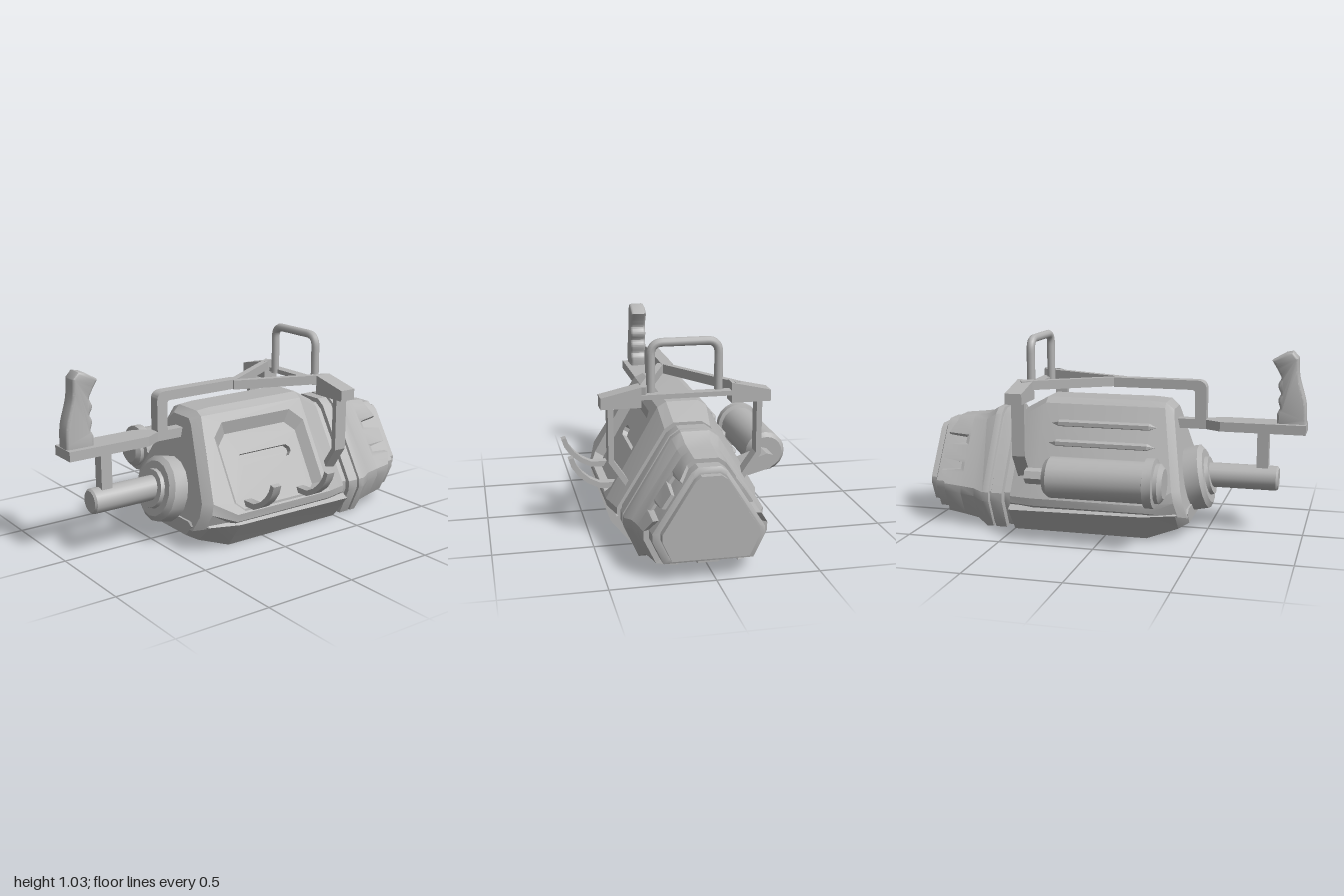
import * as THREE from 'three';
import { toCreasedNormals } from 'three/addons/utils/BufferGeometryUtils.js';

const steel = new THREE.MeshStandardMaterial({ color: 0xb4b4b4, side: THREE.DoubleSide });
steel.name = 'grey steel';

function add(parent, name, geo, crease = 0.5) {
  const g = crease ? toCreasedNormals(geo.index ? geo.toNonIndexed() : geo, crease) : geo;
  const m = new THREE.Mesh(g, steel);
  m.name = name;
  parent.add(m);
  return m;
}

// Half section [z, y] from top to bottom -> closed ring of [z, y]
const mirror = (half) => [...half, ...half.slice().reverse().map(([z, y]) => [-z, y])];

// Ring of 3D points; x is a number or a rule of (y, index)
const ring = (x, pts) => pts.map(([z, y], i) => new THREE.Vector3(typeof x === 'function' ? x(y, i) : x, y, z));

// Skin between rings; skip(i, j) leaves a face open
function loft(rings, { caps = true, skip = () => false } = {}) {
  const pos = [];
  const tri = (...v) => v.forEach((p) => pos.push(p.x, p.y, p.z));
  const n = rings[0].length;
  for (let i = 0; i < rings.length - 1; i++) {
    for (let j = 0; j < n; j++) {
      if (skip(i, j)) continue;
      const k = (j + 1) % n;
      const a = rings[i][j], b = rings[i][k], c = rings[i + 1][k], d = rings[i + 1][j];
      tri(a, b, c);
      tri(a, c, d);
    }
  }
  if (caps) {
    const s = rings[0], e = rings[rings.length - 1];
    for (let j = 1; j < n - 1; j++) {
      tri(s[0], s[j + 1], s[j]);
      tri(e[0], e[j], e[j + 1]);
    }
  }
  const g = new THREE.BufferGeometry();
  g.setAttribute('position', new THREE.Float32BufferAttribute(pos, 3));
  return g;
}

// Rounded triangle section of the muzzle
function tri(top, bot, w) {
  const k = (top - bot) / 0.62;
  return mirror([[0.065 * k + 0.005, top], [0.115 * k, top - 0.032 * k], [w, bot + 0.205 * k],
    [w, bot + 0.155 * k], [w * 0.8, bot]]);
}

const shapeOf = (pts) => new THREE.Shape(pts.map(([x, y]) => new THREE.Vector2(x, y)));

// [z, y] outline extruded from x0 to x1
function prismX(pts, x0, x1) {
  const g = new THREE.ExtrudeGeometry(shapeOf(pts.map(([z, y]) => [-z, y])), { depth: x1 - x0, bevelEnabled: false });
  return g.rotateY(Math.PI / 2).translate(x0, 0, 0);
}

function box(parent, name, x0, x1, y0, y1, z0, z1) {
  const m = add(parent, name, new THREE.BoxGeometry(x1 - x0, y1 - y0, z1 - z0), 0);
  m.position.set((x0 + x1) / 2, (y0 + y1) / 2, (z0 + z1) / 2);
  return m;
}

function beam(parent, name, a, b, w, h) {
  const A = new THREE.Vector3(...a), B = new THREE.Vector3(...b);
  const m = add(parent, name, new THREE.BoxGeometry(w, h, A.distanceTo(B)), 0);
  m.position.copy(A).lerp(B, 0.5);
  m.lookAt(B);
  return m;
}

// Lathe along x from [x, radius] pairs
function turned(parent, name, profile, seg) {
  const g = new THREE.LatheGeometry(profile.map(([x, r]) => new THREE.Vector2(r, x)), seg);
  return add(parent, name, g.rotateZ(-Math.PI / 2));
}

export function createModel() {
  const root = new THREE.Group();
  root.name = 'triangularCannon';
  const g = new THREE.Group();
  g.name = 'assembly';
  g.position.z = 0.027;
  root.add(g);

  // Upper hull, left open on +z for the recessed panel
  const full = [[0.08, 0.692], [0.125, 0.665], [0.39, 0.205], [0.385, 0.165], [0.35, 0.14]];
  const upper = [
    ring((y) => -0.455 + 0.21 * y, mirror([[0.07, 0.65], [0.1, 0.62], [0.3, 0.27], [0.3, 0.2], [0.26, 0.12]])),
    ring((y) => -0.42 + 0.21 * y, mirror([[0.08, 0.685], [0.125, 0.665], [0.35, 0.275], [0.355, 0.22], [0.32, 0.14]])),
    ring((y) => (y > 0.5 ? -0.2 : -0.24), mirror(full)),
    ring(0.37, mirror(full)),
    ring(0.5, mirror([[0.07, 0.62], [0.115, 0.59], [0.355, 0.2], [0.355, 0.165], [0.33, 0.14]])),
  ];
  add(g, 'upperHull', loft(upper, { skip: (i, j) => j === 1 && (i === 1 || i === 2) }), 0.4);

  // Lower hull
  const low = (x, wt, yt, wb, yb) => ring(x, mirror([[wt - 0.03, yt + 0.02], [wt, yt], [wb, yb]]));
  add(g, 'lowerHull', loft([
    low(-0.43, 0.25, 0.14, 0.2, 0.08), low(-0.38, 0.34, 0.15, 0.24, 0.055),
    low(-0.22, 0.387, 0.145, 0.28, 0.003), low(0.5, 0.387, 0.135, 0.28, 0.003),
  ]), 0.4);

  // Left side panel: local x along the body, y up the slope, z outward
  const side = (s) => {
    const p = new THREE.Group();
    const u = new THREE.Vector3(0, 0.46, -0.265 * s).normalize();
    const n = new THREE.Vector3(0, 0.265 * s, 0.46).normalize();
    p.matrix.makeBasis(new THREE.Vector3(1, 0, 0), u, n).setPosition(0, 0.205, 0.39 * s);
    p.matrix.decompose(p.position, p.quaternion, p.scale);
    g.add(p);
    return p;
  };
  const panel = side(1);
  panel.name = 'leftPanel';
  const octagon = (x0, x1, y0, y1, c, d) => [[x0 + d, y0], [x1 - d, y0], [x1, y0 + d], [x1, y1 - c],
    [x1 - c, y1], [x0 + c, y1], [x0, y1 - c], [x0, y0 + d]];
  const rim = octagon(-0.24, 0.345, 0.01, 0.48, 0.07, 0.05);
  const floor = octagon(-0.2, 0.305, 0.025, 0.425, 0.055, 0.04);
  const slot = octagon(-0.11, 0.235, 0.245, 0.305, 0.02, 0.02);
  const plate = (name, pts, hole, z) => {
    const s = shapeOf(pts);
    if (hole) s.holes.push(shapeOf(hole));
    add(panel, name, new THREE.ShapeGeometry(s).translate(0, 0, z), 0);
  };
  const walls = (name, a, za, b, zb) => add(panel, name, loft([
    b.map(([x, y]) => new THREE.Vector3(x, y, zb)), a.map(([x, y]) => new THREE.Vector3(x, y, za)),
  ], { caps: false }), 0.2);
  plate('sideFace', [[-0.362, 0.081], [-0.24, 0], [0.37, 0], [0.37, 0.531], [-0.28, 0.531]], rim, 0);
  walls('recessBevel', rim, 0, floor, -0.045);
  plate('recessFloor', floor, slot, -0.045);
  walls('slotWalls', slot, -0.045, slot, -0.075);
  plate('slotFloor', slot, null, -0.075);

  // Right side ribs with pointed ends
  const ribs = side(-1);
  ribs.name = 'rightRibs';
  for (const y of [0.2, 0.31, 0.42]) {
    const r = [[-0.25, 0], [-0.21, 0.02], [0.28, 0.02], [0.32, 0]];
    const geo = new THREE.LatheGeometry(r.map(([x, q]) => new THREE.Vector2(q, x)), 6).rotateZ(-Math.PI / 2);
    add(ribs, 'rib', geo, 0.3).position.y = y;
  }

  // Collar rings and tapered muzzle shell
  const collar = [[0.49, 0.58, 0.04, 0.31], [0.5, 0.6, 0.02, 0.33], [0.54, 0.6, 0.02, 0.33], [0.545, 0.58, 0.04, 0.31],
    [0.55, 0.62, 0.005, 0.345], [0.61, 0.62, 0.005, 0.345], [0.615, 0.6, 0.02, 0.33], [0.622, 0.6, 0.02, 0.33],
    [0.626, 0.62, 0.005, 0.345], [0.66, 0.62, 0.005, 0.345], [0.72, 0.58, 0.04, 0.318], [0.8, 0.57, 0.052, 0.306]];
  add(g, 'collar', loft(collar.map(([x, ...s]) => ring(x, tri(...s)))));

  // Toothed shell lip: the three long edges get notches
  const ts = [0.2, 0.24, 0.35, 0.4, 0.62, 0.66, 0.77, 0.81];
  const notched = [0, 0, 1, 1, 0, 0, 1, 1].map((v, i) => [0.93, 0.82, 0.82, 0.93][i % 4]);
  const jag = [];
  const split = (pts) => {
    jag.length = 0;
    return pts.flatMap((p, i) => {
      const q = pts[(i + 1) % pts.length];
      jag.push(0.895);
      if (![1, 4, 7].includes(i)) return [p];
      jag.push(...notched);
      return [p, ...ts.map((t) => [p[0] + (q[0] - p[0]) * t, p[1] + (q[1] - p[1]) * t])];
    });
  };
  const jagX = (y, i) => jag[i];
  add(g, 'toothedShell', loft([
    ring(0.8, split(tri(0.57, 0.052, 0.306))),
    ring(jagX, split(tri(0.56, 0.065, 0.295))),
    ring(jagX, split(tri(0.53, 0.095, 0.26))),
  ], { caps: false }), 0.45);
  add(g, 'muzzleCore', loft([[0.79, 0.54, 0.08, 0.278], [0.955, 0.54, 0.085, 0.265], [0.965, 0.52, 0.105, 0.24],
    [0.965, 0.51, 0.112, 0.23], [1, 0.51, 0.112, 0.228]].map(([x, ...s]) => ring(x, tri(...s)))));

  // Tilted rear drum and tail pipe
  const drum = turned(g, 'rearDrum', [[-0.06, 0], [-0.06, 0.1], [-0.04, 0.105], [-0.04, 0.145], [-0.02, 0.172],
    [0.06, 0.172], [0.06, 0]], 16);
  drum.position.set(-0.455, 0.28, 0);
  drum.rotation.z = -0.207;
  turned(g, 'tailPipe', [[-0.865, 0], [-0.865, 0.055], [-0.855, 0.065], [-0.43, 0.065], [-0.43, 0]], 20)
    .position.y = 0.295;
  box(g, 'tailPost', -0.81, -0.75, 0.34, 0.56, -0.03, 0.03);

  // Rear bar, narrowing toward the body
  const barPts = [[-1, 0.075], [-0.56, 0.075], [-0.48, 0.03], [-0.28, 0.03]];
  const bar = shapeOf([...barPts, ...barPts.slice().reverse().map(([x, z]) => [x, -z])]);
  add(g, 'rearBar', new THREE.ExtrudeGeometry(bar, { depth: 0.05, bevelEnabled: false })
    .rotateX(-Math.PI / 2).translate(0, 0.545, 0), 0.3);

  // Moulded grip
  const grip = new THREE.Shape();
  grip.moveTo(-0.985, 0.59);
  grip.splineThru([[-0.98, 0.7], [-0.945, 0.83], [-0.937, 0.93]].map((p) => new THREE.Vector2(...p)));
  grip.lineTo(-0.915, 0.953).lineTo(-0.89, 0.948).lineTo(-0.833, 0.915);
  grip.splineThru([[-0.86, 0.87], [-0.877, 0.83], [-0.862, 0.79], [-0.878, 0.75], [-0.865, 0.715],
    [-0.875, 0.67], [-0.86, 0.64], [-0.862, 0.59]].map((p) => new THREE.Vector2(...p)));
  add(g, 'grip', new THREE.ExtrudeGeometry(grip, { depth: 0.06, bevelSize: 0.012, bevelThickness: 0.015,
    bevelSegments: 2, curveSegments: 24 }).translate(0, 0, -0.03), 0.8);

  // Top rail with bent rear leg and two forked arms
  const rail = new THREE.Shape();
  rail.moveTo(-0.48, 0.58);
  rail.lineTo(-0.48, 0.75).quadraticCurveTo(-0.48, 0.8, -0.43, 0.8).lineTo(0.02, 0.8).lineTo(0.02, 0.75);
  rail.lineTo(-0.4, 0.75).quadraticCurveTo(-0.42, 0.75, -0.42, 0.73).lineTo(-0.42, 0.58);
  add(g, 'topRail', new THREE.ExtrudeGeometry(rail, { depth: 0.06, bevelEnabled: false }).translate(0, 0, -0.03));
  box(g, 'crossBar', 0.435, 0.49, 0.738, 0.762, -0.24, 0.24);

  for (const s of [1, -1]) {
    const flip = (pts) => pts.map(([z, y]) => [z * s, y]);
    beam(g, 'forkArm', [0, 0.775, 0.01 * s], [0.47, 0.775, 0.245 * s], 0.035, 0.048);
    add(g, 'gusset', prismX(flip([[0.225, 0.7], [0.425, 0.7], [0.425, 0.757], [0.225, 0.802]]), 0.4, 0.49), 0.2);
    add(g, 'strut', prismX(flip([[0.388, 0.71], [0.36, 0.71], [0.36, 0.43], [0.265, 0.29], [0.285, 0.27],
      [0.388, 0.425]]), 0.4, 0.47), 0.2);
  }

  // Carry handle
  const path = new THREE.CurvePath();
  const P = (z, y) => new THREE.Vector3(0.435, y, z);
  path.add(new THREE.LineCurve3(P(-0.17, 0.74), P(-0.17, 0.945)));
  path.add(new THREE.QuadraticBezierCurve3(P(-0.17, 0.945), P(-0.17, 1.007), P(-0.11, 1.007)));
  path.add(new THREE.LineCurve3(P(-0.11, 1.007), P(0.11, 1.007)));
  path.add(new THREE.QuadraticBezierCurve3(P(0.11, 1.007), P(0.17, 1.007), P(0.17, 0.945)));
  path.add(new THREE.LineCurve3(P(0.17, 0.945), P(0.17, 0.74)));
  add(g, 'carryHandle', new THREE.TubeGeometry(path, 60, 0.022, 10), 0.8);

  // Left hooks
  const hook = [[0.3, 0.213], [0.4, 0.215], [0.46, 0.245], [0.51, 0.285], [0.545, 0.335], [0.56, 0.38],
    [0.535, 0.387], [0.52, 0.345], [0.49, 0.305], [0.45, 0.27], [0.4, 0.245], [0.3, 0.243]];
  for (const x of [-0.15, 0.198]) add(g, 'hook', prismX(hook, x, x + 0.048), 0.6);

  // Side canister with clamp ring and brackets
  turned(g, 'canister', [[-0.355, 0], [-0.355, 0.075], [-0.335, 0.1], [-0.315, 0.1], [-0.31, 0.125], [-0.265, 0.125],
    [-0.26, 0.105], [0.23, 0.105], [0.255, 0.085], [0.255, 0]], 20).position.set(0, 0.352, -0.482);
  const arm = [[-0.28, 0.255], [-0.47, 0.305], [-0.5, 0.34], [-0.485, 0.375], [-0.45, 0.385], [-0.28, 0.325]];
  add(g, 'frontBracket', prismX(arm, 0.25, 0.37), 0.3);
  add(g, 'rearBracket', prismX([[-0.28, 0.27], [-0.4, 0.3], [-0.4, 0.37], [-0.28, 0.34]], -0.31, -0.265), 0.3);

  return root;
}
